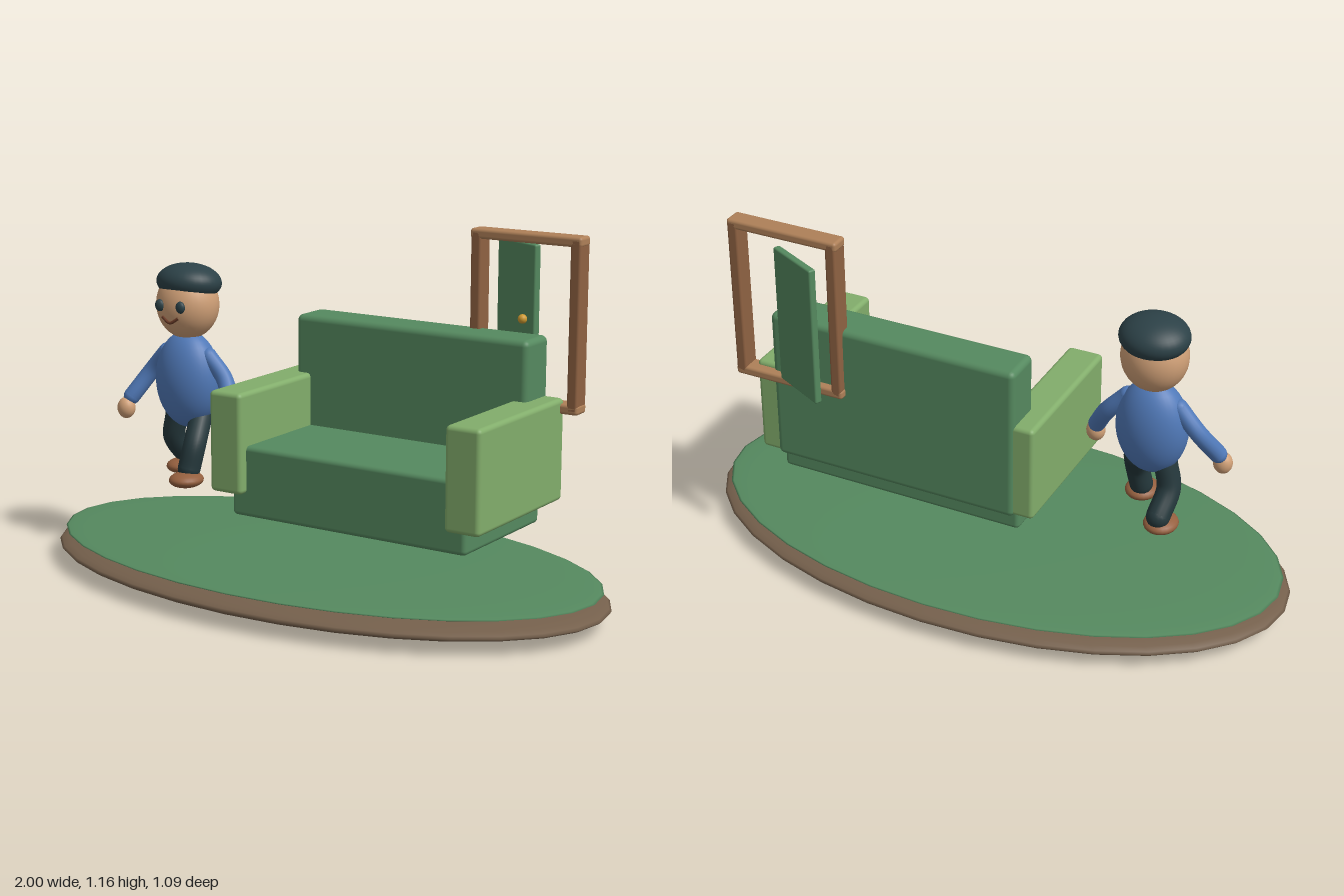
import * as THREE from 'three';
import { RoundedBoxGeometry } from 'three/addons/geometries/RoundedBoxGeometry.js';

const mat = (color) => new THREE.MeshStandardMaterial({ color });
const M = {
  green: mat(0x55895f), lime: mat(0x82ad6b), wood: mat(0x8f6242), paleWood: mat(0xae8058),
  earth: mat(0x75604c), skin: mat(0xd0a077), dark: mat(0x2c4147), trousers: mat(0x25383c),
  blue: mat(0x5079b8), shoe: mat(0x95603f), brass: mat(0xcf9a30), mouth: mat(0x6b3c28),
};

function add(parent, name, geometry, material, x = 0, y = 0, z = 0) {
  const mesh = new THREE.Mesh(geometry, material);
  mesh.name = name;
  mesh.position.set(x, y, z);
  parent.add(mesh);
  return mesh;
}

// Rounded box given by its extents along each axis
function block(parent, name, material, [x0, x1], [y0, y1], [z0, z1], r = 0.015) {
  const g = new RoundedBoxGeometry(x1 - x0, y1 - y0, z1 - z0, 3, r);
  return add(parent, name, g, material, (x0 + x1) / 2, (y0 + y1) / 2, (z0 + z1) / 2);
}

// Ellipsoid with the given radii
function ellipsoid(parent, name, material, [x, y, z], [rx, ry, rz], w = 32, h = 20) {
  const g = new THREE.SphereGeometry(1, w, h).scale(rx, ry, rz);
  return add(parent, name, g, material, x, y, z);
}

// Rounded limb along a curve, with ball ends
function limb(parent, name, material, points, r) {
  const pts = points.map((p) => new THREE.Vector3(...p));
  const curve = new THREE.CatmullRomCurve3(pts);
  const group = new THREE.Group();
  group.name = name;
  add(group, name + 'Tube', new THREE.TubeGeometry(curve, 20, r, 16), material);
  for (const p of [points[0], points[points.length - 1]]) {
    ellipsoid(group, name + 'End', material, p, [r, r, r], 16, 12);
  }
  parent.add(group);
}

function createBase() {
  const base = new THREE.Group();
  base.name = 'base';
  ellipsoid(base, 'earthDisc', M.earth, [0, 0.056, 0], [1, 0.056, 0.545], 32, 24);
  ellipsoid(base, 'grassDisc', M.green, [0, 0.105, 0], [0.975, 0.018, 0.525], 32, 24);
  return base;
}

function createSofa() {
  const sofa = new THREE.Group();
  sofa.name = 'sofa';
  block(sofa, 'seat', M.green, [-0.187, 0.662], [0.257, 0.485], [-0.23, 0.23]);
  block(sofa, 'backrest', M.green, [-0.187, 0.662], [0.325, 0.846], [-0.27, -0.13], 0.02);
  for (const [name, x] of [['rightArm', -0.25], ['leftArm', 0.605]]) {
    block(sofa, name, M.lime, [x, x + 0.12], [0.332, 0.657], [-0.262, 0.262]);
  }
  return sofa;
}

function createDoor() {
  const door = new THREE.Group();
  door.name = 'doorway';
  const depth = [-0.295, -0.232];
  for (const x of [0.4, 0.745]) block(door, 'framePost', M.wood, [x, x + 0.036], [0.615, 1.155], depth, 0.008);
  for (const y of [0.61, 1.128]) block(door, 'frameBar', M.paleWood, [0.397, 0.783], [y, y + 0.032], depth, 0.01);

  // Open door leaf with its knob
  const leaf = new THREE.Group();
  leaf.name = 'doorLeaf';
  leaf.position.set(0.508, 0.883, -0.351);
  leaf.rotation.y = -0.46;
  block(leaf, 'panel', M.green, [-0.1, 0.1], [-0.232, 0.232], [-0.012, 0.012], 0.006);
  ellipsoid(leaf, 'knob', M.brass, [0.055, -0.005, 0.022], [0.015, 0.015, 0.015], 16, 12);
  door.add(leaf);
  return door;
}

function createFigure() {
  const figure = new THREE.Group();
  figure.name = 'figure';
  figure.position.x = -0.53;

  ellipsoid(figure, 'torso', M.blue, [0, 0.615, 0], [0.117, 0.162, 0.088]);
  ellipsoid(figure, 'head', M.skin, [0, 0.865, -0.003], [0.106, 0.115, 0.1]);

  // Cap sitting on the head, tipped slightly back
  const capShape = new THREE.SphereGeometry(1, 32, 18, 0, Math.PI * 2, 0, Math.PI * 0.66);
  const cap = add(figure, 'cap', capShape.scale(0.111, 0.063, 0.1), M.dark, 0, 0.937, -0.012);
  cap.material = cap.material.clone();
  cap.material.side = THREE.DoubleSide;
  cap.rotation.x = -0.1;

  // Face
  for (const s of [-1, 1]) {
    ellipsoid(figure, 'eye', M.dark, [s * 0.042, 0.87, 0.092], [0.017, 0.02, 0.012], 16, 12);
  }
  const smile = new THREE.CatmullRomCurve3([
    new THREE.Vector3(-0.032, 0.833, 0.09),
    new THREE.Vector3(0, 0.816, 0.095),
    new THREE.Vector3(0.032, 0.833, 0.09),
  ]);
  add(figure, 'mouth', new THREE.TubeGeometry(smile, 12, 0.005, 8), M.mouth);

  // Arms, hands, and legs in mid-stride (left foot forward)
  for (const s of [-1, 1]) {
    const side = s > 0 ? 'left' : 'right';
    limb(figure, side + 'Arm', M.blue,
      [[s * 0.085, 0.7, 0], [s * 0.15, 0.628, 0], [s * 0.203, 0.54, 0.045]], 0.028);
    ellipsoid(figure, side + 'Hand', M.skin, [s * 0.214, 0.502, 0.062], [0.031, 0.036, 0.029], 20, 14);

    const foot = s > 0 ? 0.1 : -0.05;
    limb(figure, side + 'Leg', M.trousers,
      [[s * 0.05, 0.49, 0], [s * 0.068, 0.41, s > 0 ? 0.06 : -0.01], [s * 0.06, 0.335, foot - 0.02]], 0.038);
    ellipsoid(figure, side + 'Shoe', M.shoe, [s * 0.063, 0.302, foot], [0.055, 0.026, 0.062], 24, 14);
  }
  return figure;
}

export function createModel() {
  const model = new THREE.Group();
  model.name = 'livingRoomScene';
  model.add(createBase(), createSofa(), createDoor(), createFigure());
  return model;
}
